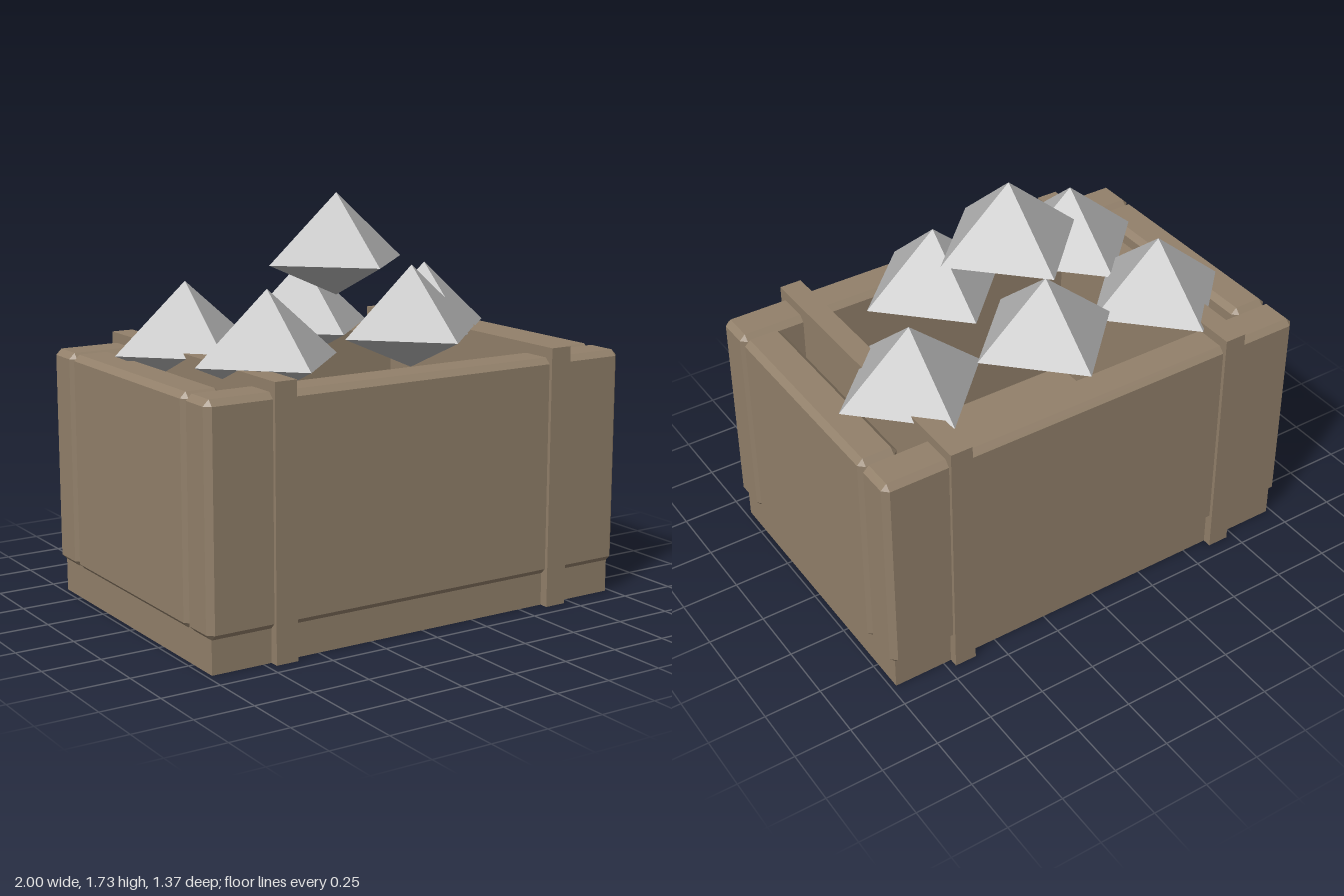
import * as THREE from 'three';
import { ConvexGeometry } from 'three/addons/geometries/ConvexGeometry.js';

const wood = new THREE.MeshStandardMaterial({ color: 0x92806a });
wood.name = 'wood';
const ore = new THREE.MeshStandardMaterial({ color: 0xb0b0b0, flatShading: true });
ore.name = 'greyOre';

// Box with every edge bevelled, as the hull of three points per corner
function bevelledBox(w, h, d, b) {
  const points = [];
  for (const x of [-w / 2, w / 2])
    for (const y of [-h / 2, h / 2])
      for (const z of [-d / 2, d / 2]) {
        const ix = x - Math.sign(x) * b, iy = y - Math.sign(y) * b, iz = z - Math.sign(z) * b;
        points.push(
          new THREE.Vector3(x, iy, iz),
          new THREE.Vector3(ix, y, iz),
          new THREE.Vector3(ix, iy, z)
        );
      }
  return new ConvexGeometry(points);
}

// Four-sided double pyramid with a tall top and a shallow underside
function crystalGeometry(radius, up, down) {
  const geo = new THREE.OctahedronGeometry(radius);
  const pos = geo.attributes.position;
  for (let i = 0; i < pos.count; i++) {
    const y = pos.getY(i) / radius;
    pos.setY(i, y > 0 ? y * up : y * down);
  }
  geo.computeVertexNormals();
  return geo;
}

export function createModel() {
  const group = new THREE.Group();
  const add = (name, geo, mat, x, y, z) => {
    const mesh = new THREE.Mesh(geo, mat);
    mesh.name = name;
    mesh.position.set(x, y, z);
    group.add(mesh);
  };

  // Base block, forming the crate floor
  add('base', new THREE.BoxGeometry(1.955, 0.27, 1.29), wood, 0, 0.135, 0);

  // Bevelled walls
  const bottom = 0.138, top = 1.068, height = top - bottom, midY = (top + bottom) / 2;
  const longWall = bevelledBox(2, height, 0.18, 0.025);
  const shortWall = bevelledBox(0.175, height, 0.98, 0.025);
  add('frontWall', longWall, wood, 0, midY, 0.578);
  add('backWall', longWall, wood, 0, midY, -0.578);
  add('leftWall', shortWall, wood, 0.9125, midY, 0);
  add('rightWall', shortWall, wood, -0.9125, midY, 0);

  // Full-depth strap boards, which also divide the inside
  const strap = new THREE.BoxGeometry(0.097, 1.112, 1.368);
  add('leftStrap', strap, wood, 0.666, 0.556, 0);
  add('rightStrap', strap, wood, -0.666, 0.556, 0);

  // Heap of crystals: x, height of widest ring, z
  const crystal = crystalGeometry(0.328, 0.286, 0.145);
  const places = [
    [0, 1.446, 0],
    [-0.6, 1.092, -0.226],
    [0, 1.135, -0.268],
    [0.6, 1.092, -0.202],
    [-0.51, 1.113, 0.286],
    [0.2, 1.157, 0.266],
  ];
  places.forEach((p, i) => add('crystal' + (i + 1), crystal, ore, ...p));

  return group;
}
